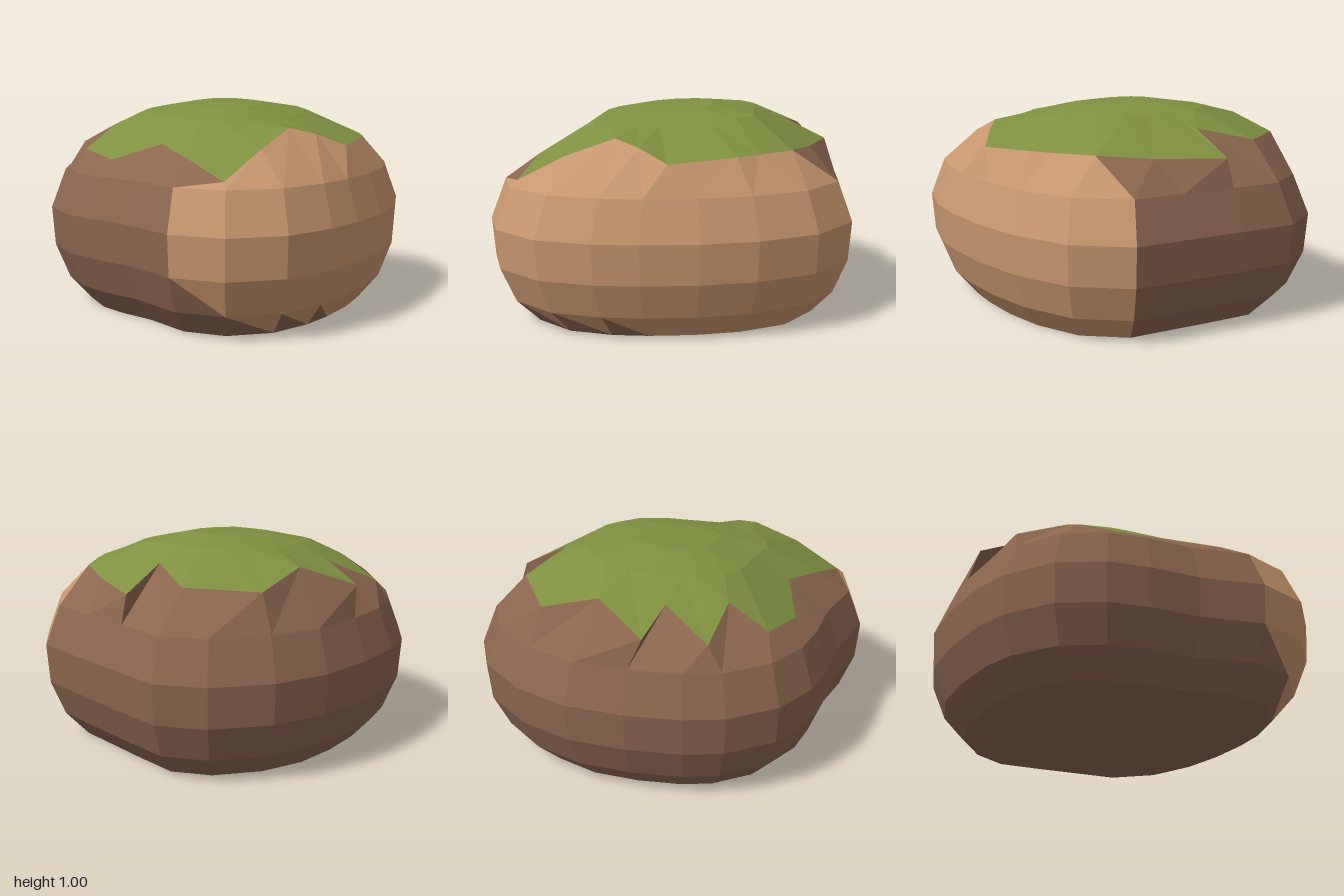
import * as THREE from 'three';

// Widest outline of the boulder, [x, z] per column, clockwise from the back
const OUTLINE = [
  [-0.32, -0.91], [-0.04, -1], [0.2, -0.97], [0.41, -0.79], [0.62, -0.6], [0.82, -0.42],
  [0.89, -0.13], [0.82, 0.17], [0.7, 0.41], [0.55, 0.63], [0.41, 0.79], [0.2, 0.95],
  [-0.07, 1], [-0.31, 0.9], [-0.5, 0.66], [-0.68, 0.5], [-0.81, 0.35], [-0.9, 0.14],
  [-0.9, -0.12], [-0.84, -0.3], [-0.71, -0.53], [-0.54, -0.75],
];

// Jagged lower edge of the moss, [x, y, z] per column
const MOSS_EDGE = [
  [-0.25, 0.84, -0.76], [0.1, 0.85, -0.75], [0.24, 0.91, -0.51], [0.36, 0.8, -0.69],
  [0.54, 0.81, -0.4], [0.66, 0.83, -0.17], [0.66, 0.83, 0.04], [0.65, 0.83, 0.16],
  [0.52, 0.81, 0.45], [0.37, 0.87, 0.5], [0.24, 0.9, 0.54], [0.1, 0.82, 0.72],
  [-0.07, 0.7, 0.88], [-0.23, 0.78, 0.67], [-0.34, 0.82, 0.45], [-0.58, 0.74, 0.37],
  [-0.72, 0.77, 0.16], [-0.59, 0.88, 0.02], [-0.76, 0.78, -0.15], [-0.53, 0.89, -0.26],
  [-0.66, 0.81, -0.42], [-0.4, 0.91, -0.53],
];

const N = OUTLINE.length;
const point = (x, y, z) => new THREE.Vector3(x, y, z);

// Outline scaled to a given height
const ring = (scale, y) => OUTLINE.map(([x, z]) => point(x * scale, y, z * scale));

// Slightly tilted ring on the dome
const domeRing = (scale) => OUTLINE.map(([x, z]) =>
  point(x * scale - 0.02, 1 - 0.25 * scale * scale - 0.06 * z * scale, z * scale));

const single = (x, y, z) => OUTLINE.map(() => point(x, y, z));

function facetedMesh(name, triangles, material) {
  const geometry = new THREE.BufferGeometry().setFromPoints(triangles);
  geometry.computeVertexNormals();
  const mesh = new THREE.Mesh(geometry, material);
  mesh.name = name;
  return mesh;
}

export function createModel() {
  const moss = new THREE.MeshStandardMaterial({ color: 0x7f9040 });
  moss.name = 'moss green';
  const brown = new THREE.MeshStandardMaterial({ color: 0x8b664f });
  brown.name = 'stone brown';
  const tan = new THREE.MeshStandardMaterial({ color: 0xc8976f });
  tan.name = 'pale stone';

  // Inner dome ring has half as many corners
  const inner = domeRing(0.22);
  const rows = [
    single(-0.12, 1, -0.15),
    inner.map((p, c) => inner[c - (c % 2)]),
    domeRing(0.46),
    MOSS_EDGE.map((p) => point(...p)),
    ring(0.92, 0.67),
    ring(1, 0.48),
    ring(0.985, 0.29),
    ring(0.91, 0.12),
    ring(0.79, 0),
    single(0, 0, 0),
  ];
  const MOSS_ROW = 3, BASE_ROW = 8;

  const faces = { moss: [], brown: [], tan: [] };
  const add = (kind, a, b, c) => {
    const area = b.clone().sub(a).cross(c.clone().sub(a)).length();
    if (area > 1e-6) faces[kind].push(a, b, c);
  };

  // Colour of the two triangles in each cell: the pale face wraps the front and left
  const cellKinds = (r, c) => {
    if (r < MOSS_ROW) return ['moss', 'moss'];
    if (r >= BASE_ROW || c < 5 || c > 12) return ['brown', 'brown'];
    if (r === MOSS_ROW && c === 12) return ['brown', 'tan'];
    if (r === 6 && c === 12) return ['tan', 'brown'];
    if (r === 7 && c === 12) return ['brown', 'brown'];
    if (r === 7 && c >= 9) return ['tan', 'brown'];
    return ['tan', 'tan'];
  };

  for (let r = 0; r < rows.length - 1; r++) {
    const slant = r === 1 || r === 3 || r === 5;
    for (let c = 0; c < N; c++) {
      const n = (c + 1) % N;
      const a = rows[r][c], b = rows[r][n], d = rows[r + 1][c], e = rows[r + 1][n];
      const [first, second] = cellKinds(r, c);
      if (slant) {
        add(first, a, b, e);
        add(second, a, e, d);
      } else {
        add(first, a, b, d);
        add(second, b, e, d);
      }
    }
  }

  const group = new THREE.Group();
  group.name = 'mossyBoulder';
  group.add(
    facetedMesh('mossCap', faces.moss, moss),
    facetedMesh('rockBody', faces.brown, brown),
    facetedMesh('paleFace', faces.tan, tan),
  );
  return group;
}
